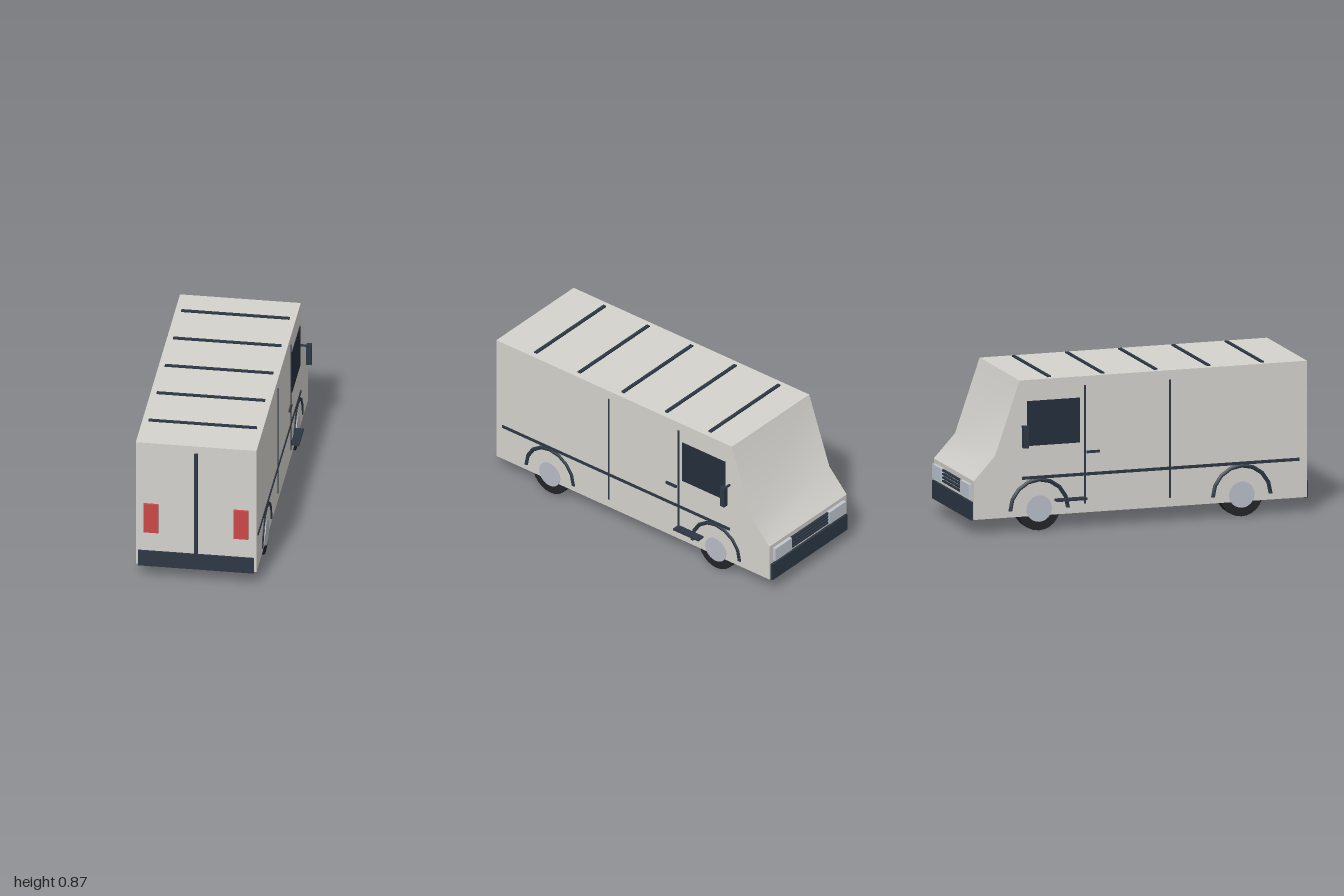
import * as THREE from 'three';
import { toCreasedNormals } from 'three/addons/utils/BufferGeometryUtils.js';

const mat = (color) => new THREE.MeshStandardMaterial({ color });

export function createModel() {
  const van = new THREE.Group();
  van.name = 'stepVan';
  const paint = mat(0xd4d2cd), trim = mat(0x2c3744), glass = mat(0x242f3b);
  const red = mat(0xc94848), rubber = mat(0x222428), metal = mat(0xb8bcc6), lamp = mat(0xc0c8d2);

  const add = (name, geometry, material, x = 0, y = 0, z = 0) => {
    const mesh = new THREE.Mesh(geometry, material);
    mesh.name = name;
    mesh.position.set(x, y, z);
    van.add(mesh);
    return mesh;
  };
  // Box given by its extents along each axis
  const box = (name, material, [x0, x1], [y0, y1], [z0, z1]) =>
    add(name, new THREE.BoxGeometry(x1 - x0, y1 - y0, z1 - z0), material,
      (x0 + x1) / 2, (y0 + y1) / 2, (z0 + z1) / 2);
  // Same box on both sides of the van
  const pair = (name, material, [x0, x1], y, z) => {
    box(name + 'Left', material, [x0, x1], y, z);
    box(name + 'Right', material, [-x1, -x0], y, z);
  };

  // Body shell: side profile (z, y) extruded across the width
  const profile = new THREE.Shape([
    [0.985, 0.09], [0.985, 0.865], [-0.71, 0.865],
    [-0.855, 0.445], [-0.98, 0.31], [-0.98, 0.09],
  ].map(([z, y]) => new THREE.Vector2(z, y)));
  const shell = new THREE.ExtrudeGeometry(profile, { depth: 0.68, bevelEnabled: false });
  shell.rotateY(-Math.PI / 2).translate(0.34, 0, 0);
  add('body', toCreasedNormals(shell, 0.5), paint);

  // Roof ribs
  for (let i = 0; i < 5; i++) {
    const z = 0.732 - i * 0.3135;
    box('roofRib', trim, [-0.305, 0.305], [0.86, 0.873], [z - 0.01, z + 0.01]);
  }

  // Rear end: bumper, door seam and tail lights
  box('rearBumper', trim, [-0.327, 0.327], [0.085, 0.18], [0.955, 0.996]);
  box('rearDoorSeam', trim, [-0.01, 0.01], [0.18, 0.82], [0.98, 1.0]);
  pair('tailLight', red, [0.212, 0.295], [0.3, 0.48], [0.98, 0.999]);

  // Nose: bumper, headlights and grille bars
  box('frontBumper', trim, [-0.33, 0.33], [0.087, 0.19], [-0.995, -0.955]);
  pair('headlight', lamp, [0.165, 0.31], [0.208, 0.287], [-1.0, -0.975]);
  for (let i = 0; i < 4; i++) {
    const y = 0.217 + i * 0.02;
    box('grilleBar', trim, [-0.165, 0.165], [y - 0.005, y + 0.005], [-0.993, -0.975]);
  }

  // Side details
  pair('sideWindow', glass, [0.33, 0.344], [0.49, 0.745], [-0.665, -0.355]);
  pair('rubStrip', trim, [0.33, 0.345], [0.3, 0.317], [-0.695, 0.94]);
  pair('cabDoorSeam', trim, [0.33, 0.343], [0.14, 0.813], [-0.331, -0.32]);
  pair('cargoSeam', trim, [0.33, 0.343], [0.14, 0.813], [0.17, 0.181]);
  pair('doorHandle', trim, [0.335, 0.351], [0.427, 0.441], [-0.315, -0.24]);
  pair('entryStep', trim, [0.33, 0.387], [0.169, 0.181], [-0.505, -0.325]);
  pair('mirrorArm', trim, [0.335, 0.38], [0.599, 0.609], [-0.699, -0.689]);
  pair('mirror', trim, [0.375, 0.405], [0.49, 0.615], [-0.707, -0.678]);

  // Wheels with hubs and arch trims
  const tire = new THREE.CylinderGeometry(0.125, 0.125, 0.07, 24).rotateZ(Math.PI / 2);
  const hub = new THREE.CylinderGeometry(0.075, 0.075, 0.04, 24).rotateZ(Math.PI / 2);
  const arch = new THREE.TorusGeometry(0.17, 0.015, 6, 8, Math.PI).rotateY(Math.PI / 2);
  for (const z of [0.6, -0.595]) {
    for (const side of [1, -1]) {
      add('tire', tire, rubber, side * 0.301, 0.13, z);
      add('hub', hub, metal, side * 0.323, 0.13, z);
      add('wheelArch', arch, trim, side * 0.334, 0.125, z);
    }
  }
  return van;
}
